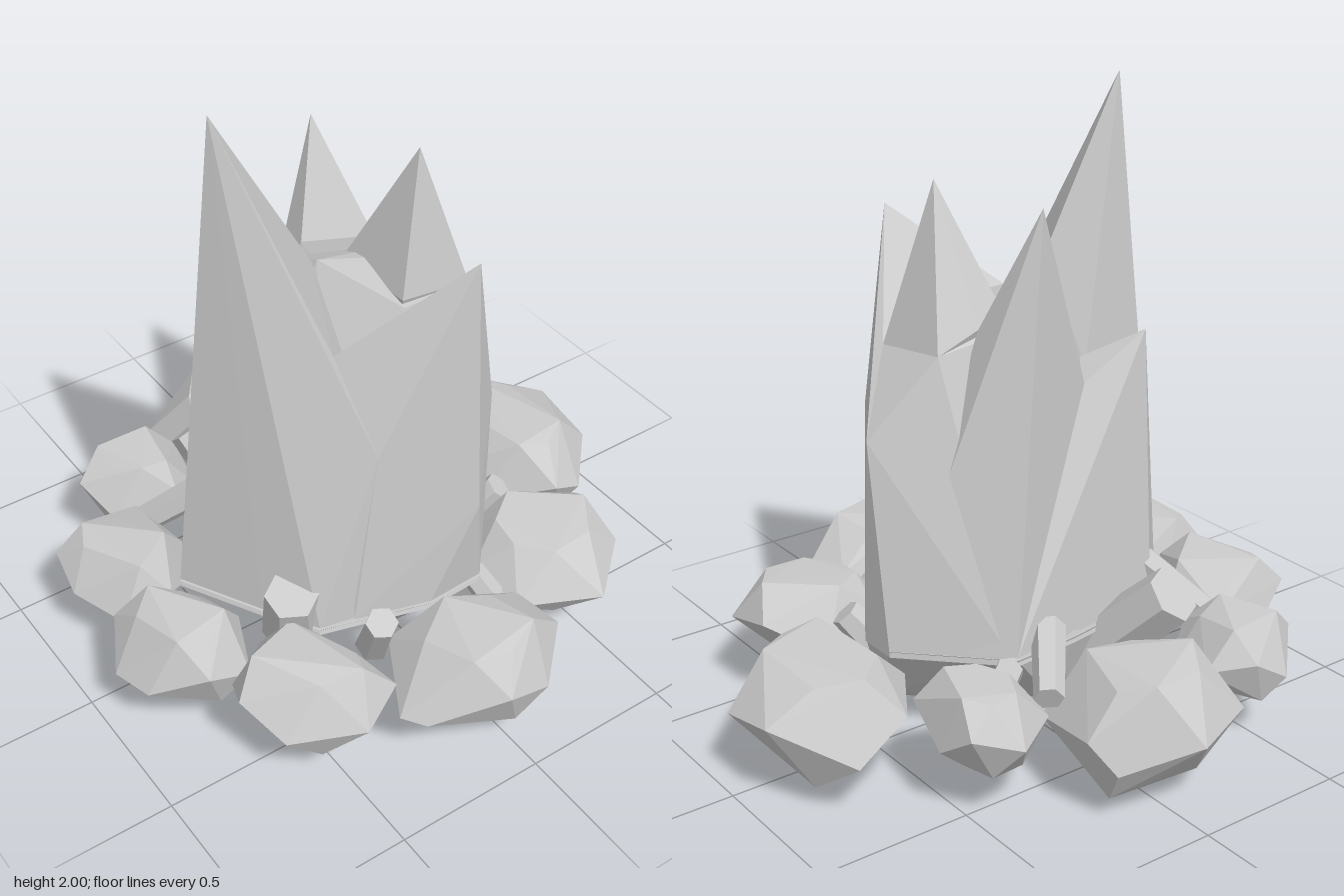
import * as THREE from 'three';
import { ConvexGeometry } from 'three/addons/geometries/ConvexGeometry.js';

const stone = new THREE.MeshStandardMaterial({ color: 0xcccccc, flatShading: true });

// Faceted solid wrapped around a few corner points
function hull(name, points) {
  const mesh = new THREE.Mesh(new ConvexGeometry(points.map(p => new THREE.Vector3(...p))), stone);
  mesh.name = name;
  return mesh;
}

// Boulder: a widest outline [x, z] with smaller, uneven rings above and below it
function boulder(name, [bottom, middle, top], outline) {
  const n = outline.length;
  const cx = outline.reduce((sum, p) => sum + p[0], 0) / n;
  const cz = outline.reduce((sum, p) => sum + p[1], 0) / n;
  const points = [];
  outline.forEach(([x, z], i) => {
    const wave = Math.sin(i * 2.4 + cx * 9);
    const [nx, nz] = outline[(i + 1) % n];
    const mx = (x + nx) / 2 - cx, mz = (z + nz) / 2 - cz;
    points.push([x, middle + wave * 0.05, z]);
    if (i % 4 < 3) {
      const up = 0.68 + wave * 0.08, down = 0.7 - wave * 0.08;
      points.push([cx + mx * up, top - 0.02 + wave * 0.02, cz + mz * up]);
      points.push([cx + mx * down, bottom + 0.025 + wave * 0.025, cz + mz * down]);
    }
  });
  return hull(name, points);
}

// Six-sided shard running between two points
function shard(name, from, to, radius) {
  const a = new THREE.Vector3(...from), b = new THREE.Vector3(...to);
  const dir = b.clone().sub(a);
  const mesh = new THREE.Mesh(new THREE.CylinderGeometry(radius * 0.85, radius, dir.length(), 6), stone);
  mesh.position.copy(a).add(b).multiplyScalar(0.5);
  mesh.quaternion.setFromUnitVectors(new THREE.Vector3(0, 1, 0), dir.normalize());
  mesh.name = name;
  return mesh;
}

export function createModel() {
  const model = new THREE.Group();
  model.name = 'crystalCluster';

  // Ground outline shared by the core and its root
  const foot = [[-0.65, 0], [-0.51, 0.26], [-0.41, 0.43], [-0.06, 0.53], [0.14, 0.52], [0.31, 0.31],
    [0.47, 0.08], [0.47, -0.06], [0.19, -0.34], [-0.05, -0.32], [-0.4, -0.26]];
  const footAt = y => foot.map(([x, z]) => [x, y, z]);

  // Core mass between the spires
  const core = new THREE.Group();
  core.name = 'core';
  core.add(
    hull('coreBody', [...footAt(0.32), [-0.18, 1.36, -0.06], [-0.02, 1.3, -0.08], [0.1, 1.32, 0.06],
      [0, 1.3, 0.28], [-0.15, 1.4, 0.05], [0.27, 1.25, -0.05], [0.3, 1.23, 0.2], [0.47, 1, 0.04]]),
    hull('coreRoot', [...footAt(0.34), [0.06, 0, 0], [0.4, 0.1, 0.1], [-0.38, 0.14, 0.02],
      [-0.04, 0.08, 0.32], [0, 0.12, -0.25], [0.2, 0.06, 0.2]]));
  model.add(core);

  // Spires
  const spires = new THREE.Group();
  spires.name = 'spires';
  spires.add(
    hull('tallSpire', [[-0.5, 2, 0.06], [-0.17, 1.4, 0.05], [-0.28, 1.27, 0.32], [-0.22, 0.96, 0.46],
      [-0.65, 0.35, 0], [-0.51, 0.35, 0.26], [-0.41, 0.35, 0.43], [-0.08, 0.35, 0.5], [-0.2, 0.35, -0.05]]),
    hull('frontSpire', [[0.07, 1.57, 0.53], [-0.28, 1.27, 0.32], [-0.22, 0.96, 0.46], [0.3, 1.23, 0.2],
      [0.24, 0.96, 0.41], [0.47, 1, 0.04], [0.08, 0.7, 0.57], [-0.3, 0.35, 0.46], [-0.06, 0.35, 0.53],
      [0.14, 0.35, 0.52], [0.47, 0.35, 0.08], [0.47, 0.35, -0.05], [0, 0.35, 0.1]]),
    hull('middleSpire', [[0.14, 1.73, 0.15], [0, 1.32, 0.27], [0.3, 1.23, 0.2], [0.27, 1.25, -0.05],
      [0.13, 1.31, -0.06], [0, 1.3, -0.04], [0.1, 0.9, 0.1]]),
    hull('backSpire', [[0.02, 1.7, -0.23], [-0.12, 1.38, -0.08], [0.14, 1.31, -0.07],
      [-0.2, 1.1, -0.16], [0.47, 0.35, -0.05], [0.19, 0.35, -0.34], [0, 0.35, -0.1]]),
    hull('shortSpire', [[-0.4, 1.25, -0.21], [-0.18, 1.1, 0], [-0.2, 1.1, -0.16], [-0.65, 0.35, 0],
      [-0.4, 0.35, -0.27], [0.19, 0.35, -0.34], [0, 0.35, 0]]));
  model.add(spires);

  // Ring of boulders
  const boulders = new THREE.Group();
  boulders.name = 'boulders';
  boulders.add(
    boulder('backBoulder', [0.07, 0.23, 0.44],
      [[-0.3, -0.82], [-0.02, -0.96], [0.2, -0.83], [0.25, -0.75], [0.2, -0.47], [-0.02, -0.38], [-0.25, -0.55]]),
    boulder('backRightBoulder', [0.14, 0.27, 0.41],
      [[-0.68, -0.62], [-0.55, -0.75], [-0.43, -0.74], [-0.29, -0.66], [-0.31, -0.48], [-0.43, -0.4], [-0.63, -0.47]]),
    boulder('rightRearBoulder', [0.13, 0.27, 0.41],
      [[-0.92, -0.22], [-0.9, -0.37], [-0.77, -0.42], [-0.57, -0.43], [-0.52, -0.22], [-0.58, -0.09], [-0.69, 0.01], [-0.84, -0.04]]),
    boulder('rightFrontBoulder', [0.12, 0.26, 0.42],
      [[-0.97, 0.14], [-0.88, -0.02], [-0.7, -0.01], [-0.6, 0.05], [-0.55, 0.18], [-0.62, 0.36], [-0.78, 0.39], [-0.93, 0.27]]),
    boulder('frontRightBoulder', [0.1, 0.27, 0.43],
      [[-0.76, 0.52], [-0.7, 0.38], [-0.55, 0.31], [-0.42, 0.36], [-0.3, 0.58], [-0.33, 0.72], [-0.48, 0.79], [-0.7, 0.68]]),
    boulder('frontBoulder', [0.1, 0.25, 0.42],
      [[-0.36, 0.78], [-0.23, 0.54], [0.1, 0.54], [0.23, 0.6], [0.27, 0.76], [0.1, 0.92], [-0.08, 0.96], [-0.3, 0.84]]),
    boulder('frontLeftBoulder', [0.13, 0.27, 0.41],
      [[0.22, 0.62], [0.2, 0.42], [0.3, 0.28], [0.52, 0.23], [0.67, 0.37], [0.67, 0.58], [0.47, 0.75]]),
    boulder('leftBoulder', [0.07, 0.24, 0.41],
      [[0.41, -0.05], [0.58, -0.32], [0.78, -0.37], [0.96, -0.15], [0.96, 0.08], [0.78, 0.27], [0.65, 0.3], [0.47, 0.12]]),
    boulder('backLeftBoulder', [0.13, 0.27, 0.41],
      [[0.21, -0.52], [0.41, -0.67], [0.55, -0.6], [0.57, -0.47], [0.54, -0.29], [0.4, -0.28], [0.24, -0.33]]));
  model.add(boulders);

  // Small shards wedged between the boulders
  const shards = new THREE.Group();
  shards.name = 'shards';
  [[[-0.2, 0.2, -0.22], [-0.3, 0.48, -0.49], 0.11],
    [[-0.37, 0.5, -0.19], [-0.6, 0.25, -0.4], 0.055],
    [[0.05, 0.4, -0.31], [0.21, 0.3, -0.52], 0.055],
    [[0.17, 0.25, -0.26], [0.27, 0.36, -0.4], 0.05],
    [[-0.41, 0.22, 0.28], [-0.47, 0.48, 0.37], 0.1],
    [[-0.2, 0.15, 0.42], [-0.27, 0.4, 0.56], 0.06],
    [[0.22, 0.16, 0.56], [0.12, 0.37, 0.45], 0.05],
    [[0.36, 0.22, 0.16], [0.45, 0.35, 0.23], 0.06],
    [[0.02, 0.09, 0.46], [0.22, 0.18, 0.5], 0.05]
  ].forEach(([from, to, r], i) => shards.add(shard('shard' + (i + 1), from, to, r)));
  model.add(shards);

  return model;
}
